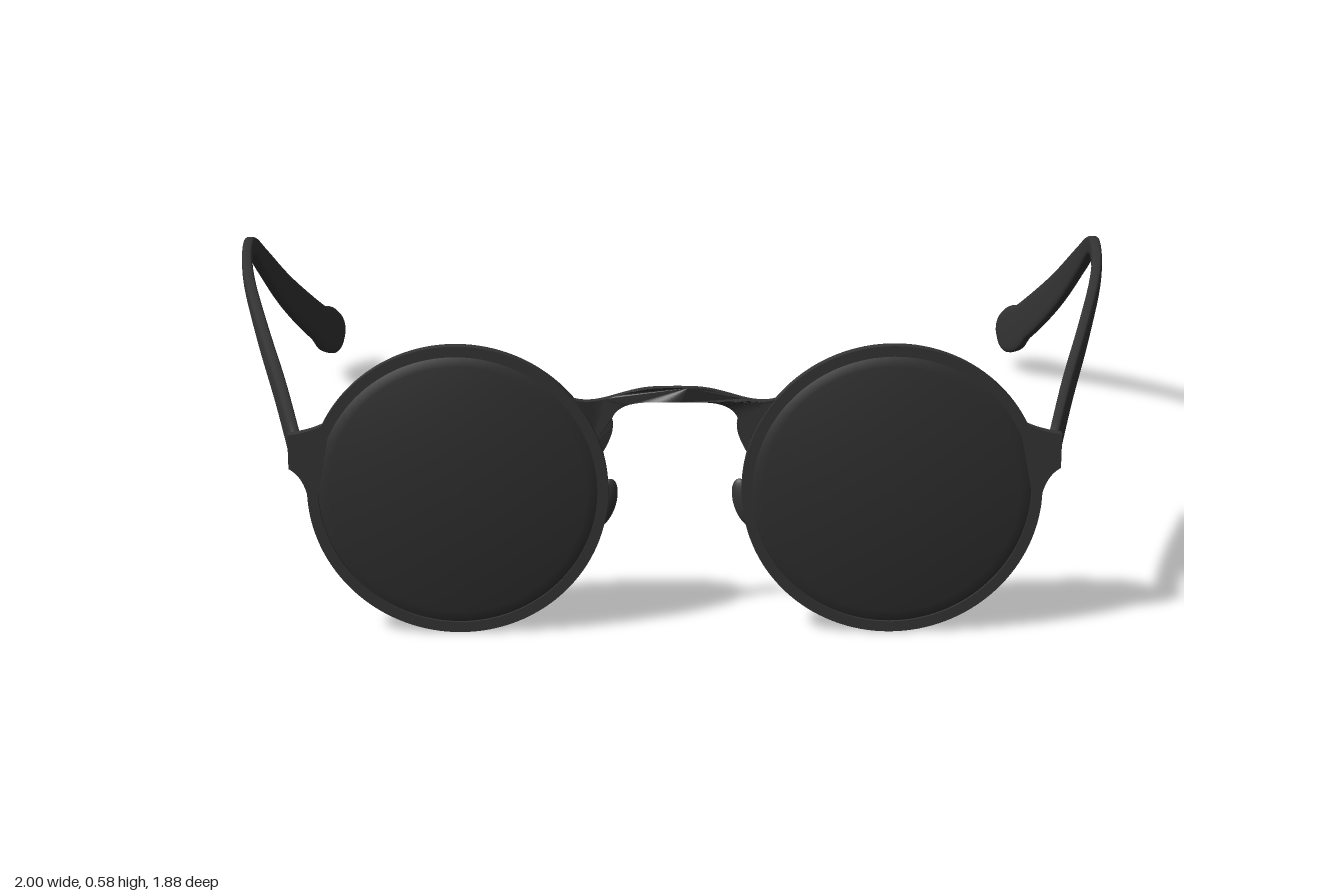
import * as THREE from 'three';

const frameMat = new THREE.MeshStandardMaterial({ name: 'dark frame', color: 0x343434 });
const lensMat = new THREE.MeshStandardMaterial({ name: 'smoked lens', color: 0x2f2f2f });

const CX = 0.42, CY = 0.291, R = 0.291; // lens centre and rim radius
const BACK = 0.898, THICK = 0.02; // rim back plane and thickness

// Mirror a geometry across x, keeping the faces outward
function mirrored(geo) {
  const g = geo.clone();
  if (!g.index) g.setIndex([...Array(g.attributes.position.count).keys()]);
  g.scale(-1, 1, 1);
  const a = g.index.array;
  for (let i = 0; i < a.length; i += 3) [a[i], a[i + 1]] = [a[i + 1], a[i]];
  return g;
}

// Sweep a rounded-rectangle section along points [x, y, z, halfHeight, halfWidth]
function loft(points, rings = 64, sides = 20) {
  const path = new THREE.CatmullRomCurve3(points.map(p => new THREE.Vector3(p[0], p[1], p[2])));
  const size = new THREE.CatmullRomCurve3(points.map(p => new THREE.Vector3(p[3], p[4], 0)));
  const end = path.getPoint(1), up = new THREE.Vector3(0, 1, 0);
  const pos = [], idx = [], tipR = 0.045;
  const round = v => Math.sign(v) * Math.sqrt(Math.abs(v));
  for (let i = 0; i <= rings; i++) {
    const t = 1 - Math.pow(1 - Math.max(i - 1, 0) / (rings - 1), 1.5);
    const p = path.getPoint(t), T = path.getTangent(t), s = size.getPoint(t);
    const W = up.clone().cross(T).normalize(), H = T.clone().cross(W);
    const e = Math.min(p.distanceTo(end) / tipR, 1);
    const k = i === 0 ? 0 : Math.sqrt(1 - (1 - e) ** 2); // closed start, rounded tip
    for (let j = 0; j < sides; j++) {
      const a = j / sides * Math.PI * 2;
      const q = p.clone()
        .addScaledVector(W, round(Math.cos(a)) * s.y * Math.sqrt(k))
        .addScaledVector(H, round(Math.sin(a)) * s.x * k);
      pos.push(q.x, q.y, q.z);
      if (i < rings) {
        const n = i * sides + j, m = i * sides + (j + 1) % sides;
        idx.push(n, m, n + sides, m, m + sides, n + sides);
      }
    }
  }
  const g = new THREE.BufferGeometry();
  g.setAttribute('position', new THREE.Float32BufferAttribute(pos, 3));
  g.setIndex(idx);
  g.computeVertexNormals();
  return g;
}

export function createModel() {
  const model = new THREE.Group();
  model.name = 'roundSunglasses';
  const add = (name, geo, mat = frameMat) => {
    const mesh = new THREE.Mesh(geo, mat);
    mesh.name = name;
    model.add(mesh);
  };
  const pair = (name, geo, mat) => {
    add('left' + name, geo, mat);
    add('right' + name, mirrored(geo), mat);
  };
  const extrude = (shape, depth, z) => new THREE.ExtrudeGeometry(shape,
    { depth, bevelEnabled: false, curveSegments: 20 }).translate(0, 0, z);

  // Flat round rims
  const ring = new THREE.Shape().absarc(CX, CY, R, 0, Math.PI * 2);
  ring.holes.push(new THREE.Path().absarc(CX, CY, 0.27, 0, Math.PI * 2, true));
  pair('Rim', new THREE.ExtrudeGeometry(ring, { depth: THICK, bevelEnabled: false, curveSegments: 64 })
    .translate(0, 0, BACK));

  // Thin domed lenses, hollow at the back
  const profile = [];
  const dome = (r, z) => z + 0.025 * (1 - (r / 0.272) ** 2);
  for (let i = 0; i <= 12; i++) profile.push(new THREE.Vector2(0.272 * i / 12, dome(0.272 * i / 12, 0.906)));
  for (let i = 12; i >= 0; i--) profile.push(new THREE.Vector2(0.272 * i / 12, dome(0.272 * i / 12, 0.912)));
  pair('Lens', new THREE.LatheGeometry(profile, 64).rotateX(Math.PI / 2).translate(CX, CY, 0), lensMat);

  // Arched bridge with fillets into the rims, waved forward in the middle
  const bridge = new THREE.Shape();
  bridge.moveTo(-0.225, 0.49);
  bridge.quadraticCurveTo(-0.18, 0.46, -0.13, 0.473);
  bridge.bezierCurveTo(-0.08, 0.488, -0.06, 0.505, 0, 0.505);
  bridge.bezierCurveTo(0.06, 0.505, 0.08, 0.488, 0.13, 0.473);
  bridge.quadraticCurveTo(0.18, 0.46, 0.225, 0.49);
  bridge.lineTo(0.16, 0.38);
  bridge.lineTo(0.142, 0.36);
  bridge.quadraticCurveTo(0.112, 0.41, 0.122, 0.43);
  bridge.bezierCurveTo(0.113, 0.465, 0.06, 0.476, 0, 0.476);
  bridge.bezierCurveTo(-0.06, 0.476, -0.113, 0.465, -0.122, 0.43);
  bridge.quadraticCurveTo(-0.112, 0.41, -0.142, 0.36);
  bridge.lineTo(-0.16, 0.38);
  const bridgeGeo = extrude(bridge, 0.016, 0);
  const bp = bridgeGeo.attributes.position;
  for (let i = 0; i < bp.count; i++) {
    const x = Math.min(Math.abs(bp.getX(i)), 0.2);
    const wave = x < 0.13
      ? 0.904 + 0.018 * Math.cos(x / 0.13 * Math.PI)
      : 0.893 - 0.007 * Math.cos((x - 0.13) / 0.07 * Math.PI);
    bp.setZ(i, bp.getZ(i) + wave);
  }
  bridgeGeo.computeVertexNormals();
  add('bridge', bridgeGeo);

  // Flared end pieces on the outer side of the rims
  const flare = new THREE.Shape();
  flare.moveTo(0.66, 0.435);
  flare.quadraticCurveTo(0.69, 0.412, 0.745, 0.405);
  flare.lineTo(0.745, 0.337);
  flare.quadraticCurveTo(0.715, 0.32, 0.708, 0.27);
  flare.lineTo(0.69, 0.29);
  flare.lineTo(0.67, 0.39);
  pair('EndPiece', extrude(flare, THICK, BACK));

  // Hinges: a leaf with two knuckles
  pair('HingeLeaf', new THREE.BoxGeometry(0.022, 0.045, 0.012).translate(0.715, 0.37, 0.894));
  for (const [name, y] of [['Upper', 0.382], ['Lower', 0.358]])
    pair(name + 'HingeKnuckle', new THREE.CylinderGeometry(0.009, 0.009, 0.014, 16).translate(0.714, y, 0.882));

  // Temples: bowed outward, dropping behind the ear to a broad rounded tip
  pair('Temple', loft([
    [0.732, 0.370, 0.897, 0.036, 0.011],
    [0.798, 0.398, 0.600, 0.031, 0.012],
    [0.865, 0.435, 0.330, 0.027, 0.012],
    [0.938, 0.465, 0.000, 0.020, 0.012],
    [0.970, 0.470, -0.200, 0.019, 0.012],
    [0.985, 0.458, -0.370, 0.022, 0.013],
    [0.978, 0.390, -0.500, 0.029, 0.013],
    [0.943, 0.268, -0.660, 0.039, 0.013],
    [0.885, 0.145, -0.820, 0.046, 0.013],
    [0.842, 0.075, -0.930, 0.046, 0.013],
  ]));

  // Nose pads on hooked wire arms
  pair('NosePad', new THREE.SphereGeometry(1, 24, 16).scale(0.024, 0.05, 0.011)
    .rotateZ(0.3).rotateY(-0.25).translate(0.138, 0.247, 0.858));
  const wire = new THREE.CatmullRomCurve3([
    [0.145, 0.245, 0.903], [0.142, 0.28, 0.898], [0.14, 0.297, 0.886],
    [0.139, 0.283, 0.874], [0.138, 0.25, 0.862],
  ].map(p => new THREE.Vector3(...p)));
  pair('NosePadArm', new THREE.TubeGeometry(wire, 24, 0.005, 8));

  return model;
}
